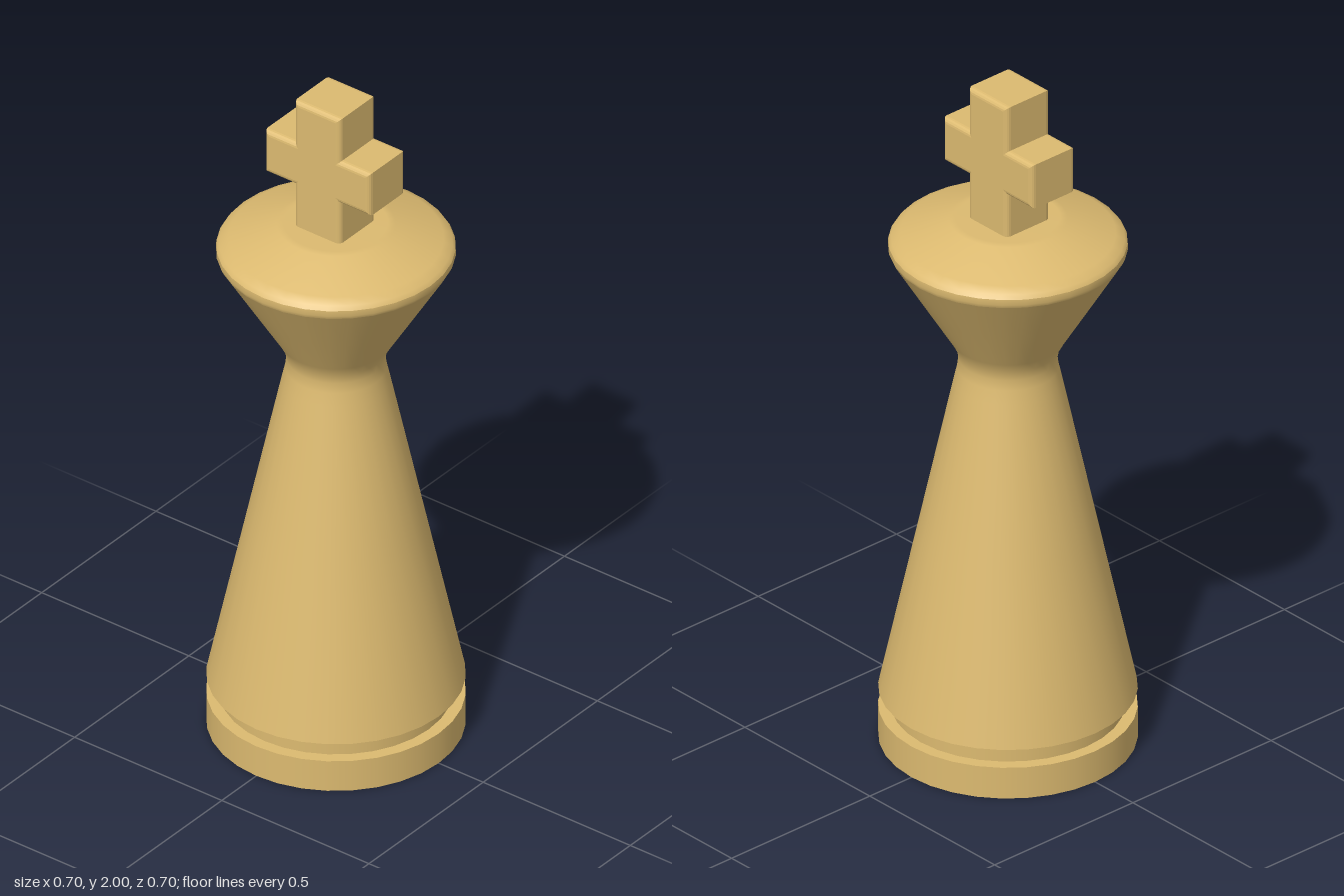
import * as THREE from 'three';

const wood = new THREE.MeshStandardMaterial({ color: 0xdcba70 });

// Turned part from [radius, height] pairs, listed bottom to top
function turned(name, profile) {
  const points = profile.map(([r, y]) => new THREE.Vector2(r, y));
  const mesh = new THREE.Mesh(new THREE.LatheGeometry(points, 32), wood);
  mesh.name = name;
  return mesh;
}

// Cross with softly rounded edges, standing on the head
function makeCross() {
  const bevel = 0.015;
  const post = 0.078 - bevel, arm = 0.179 - bevel;
  const armLow = 1.73 + bevel, armHigh = 1.865 - bevel;
  const top = 2 - bevel, bottom = 1.58, depth = 0.079 - bevel;
  const half = [[post, bottom], [post, armLow], [arm, armLow], [arm, armHigh], [post, armHigh], [post, top]];
  const mirrored = half.map(([x, y]) => [-x, y]).reverse();
  const shape = new THREE.Shape([...half, ...mirrored].map(([x, y]) => new THREE.Vector2(x, y)));
  const geometry = new THREE.ExtrudeGeometry(shape, {
    depth: depth * 2, bevelEnabled: true, bevelSize: bevel, bevelThickness: bevel, bevelSegments: 4,
  });
  geometry.translate(-0.004, 0, -depth);
  const mesh = new THREE.Mesh(geometry, wood);
  mesh.name = 'cross';
  return mesh;
}

export function createModel() {
  const group = new THREE.Group();
  group.name = 'chessKing';

  // Base disc and the groove above it
  group.add(turned('baseBottom', [[0, 0], [0.349, 0]]));
  group.add(turned('baseSide', [[0.349, 0], [0.349, 0.095]]));
  group.add(turned('baseTop', [[0.349, 0.095], [0.315, 0.095]]));
  group.add(turned('groove', [[0.315, 0.095], [0.315, 0.15]]));
  group.add(turned('bodyUnderside', [[0.315, 0.15], [0.349, 0.15]]));

  // Tapered body flowing through the neck into the flared head
  group.add(turned('body', [
    [0.349, 0.15], [0.242, 0.65], [0.146, 1.1], [0.137, 1.14], [0.133, 1.17],
    [0.139, 1.2], [0.155, 1.23], [0.23, 1.354], [0.318, 1.5],
  ]));

  // Rim and domed top of the head
  group.add(turned('headRim', [[0.318, 1.5], [0.323, 1.511], [0.322, 1.527]]));
  group.add(turned('headTop', [[0.322, 1.527], [0.314, 1.539], [0.29, 1.552], [0.16, 1.598], [0.14, 1.6], [0, 1.6]]));

  group.add(makeCross());
  return group;
}
